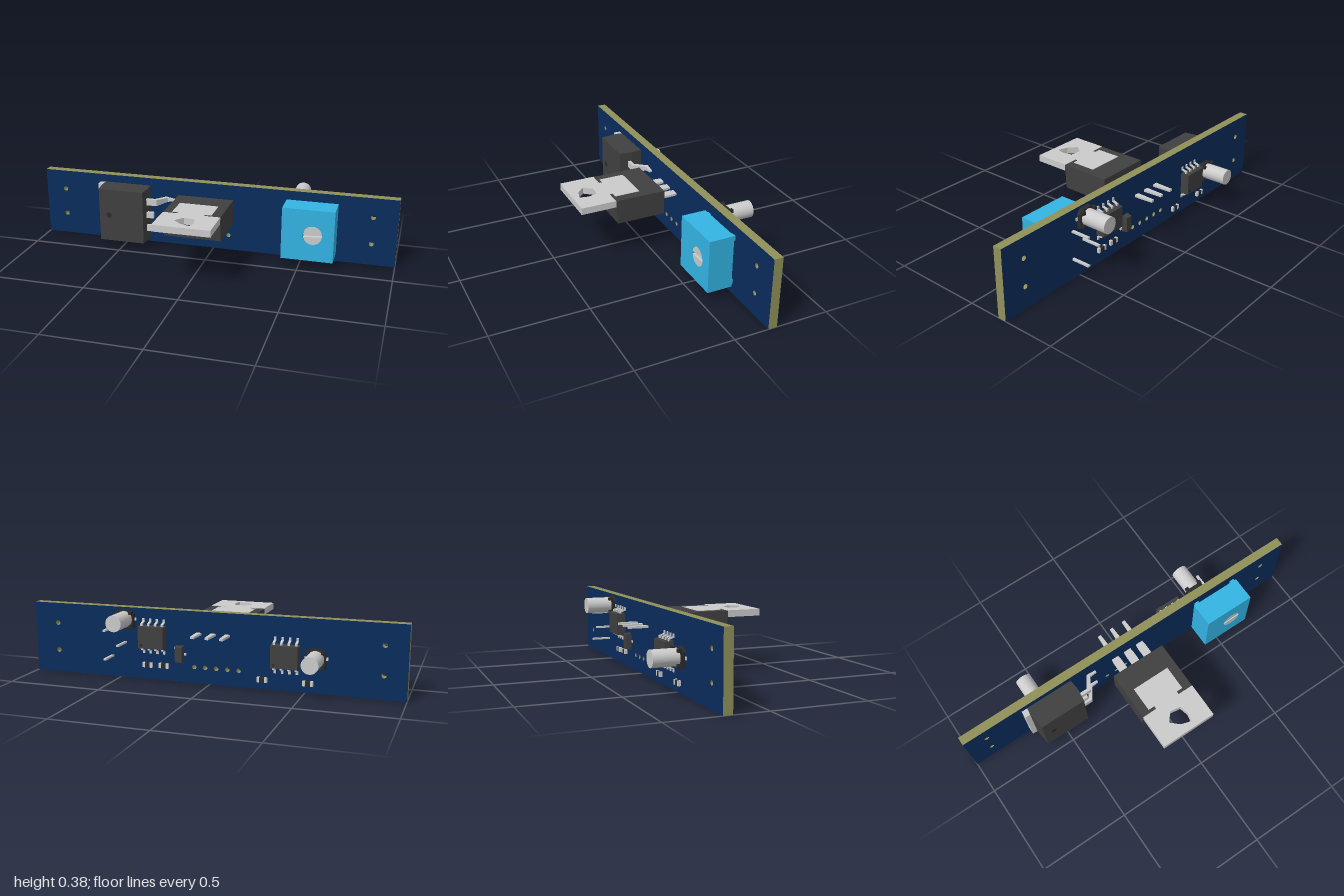
import * as THREE from 'three';

const mat = (color) => new THREE.MeshStandardMaterial({ color });
const BACK = -0.225, FRONT = -0.178; // z of the two board faces

export function createModel() {
  const root = new THREE.Group();
  const grey = mat(0xcccccc), dark = mat(0x404040), navy = mat(0x0a2c5c);
  const olive = mat(0x90905a), blue = mat(0x33b4e4), slate = mat(0x2b2b2b);

  const add = (parent, name, geo, m, x = 0, y = 0, z = 0) => {
    const mesh = new THREE.Mesh(geo, m);
    mesh.name = name;
    mesh.position.set(x, y, z);
    parent.add(mesh);
    return mesh;
  };
  const group = (name, x = 0, y = 0, z = 0) => {
    const g = new THREE.Group();
    g.name = name;
    g.position.set(x, y, z);
    root.add(g);
    return g;
  };
  // Box given by its limits
  const box = (parent, name, m, x0, x1, y0, y1, z0, z1) => add(parent, name,
    new THREE.BoxGeometry(x1 - x0, y1 - y0, z1 - z0), m, (x0 + x1) / 2, (y0 + y1) / 2, (z0 + z1) / 2);
  const outline = (pts) => new THREE.Shape(pts.map(([x, y]) => new THREE.Vector2(x, y)));
  const extrude = (shape, depth) =>
    new THREE.ExtrudeGeometry(shape, { depth, bevelEnabled: false, curveSegments: 16 });
  // Outline drawn in x and z, running downwards in y
  const flat = (shape, depth) => extrude(shape, depth).rotateX(Math.PI / 2);
  const circle = (x, y, r) => new THREE.Path().absarc(x, y, r, 0, Math.PI * 2, true);
  // Box whose +z end is narrowed
  const taperBox = (w, h, d, k) => {
    const g = new THREE.BoxGeometry(w, h, d), p = g.attributes.position;
    for (let i = 0; i < p.count; i++)
      if (p.getZ(i) > 0) p.setXY(i, p.getX(i) * k, p.getY(i) * k);
    g.computeVertexNormals();
    return g;
  };

  // Circuit board with drilled holes
  const plate = outline([[-1, 0], [1, 0], [1, 0.378], [-1, 0.378]]);
  for (const x of [-0.885, 0.868])
    for (const y of [0.12, 0.27]) plate.holes.push(circle(x, y, 0.013));
  for (let i = 0; i < 5; i++) plate.holes.push(circle(-0.155 + i * 0.06, 0.085, 0.012));
  add(root, 'circuitBoard', extrude(plate, FRONT - BACK), [navy, olive], 0, 0, BACK);

  // Flat power transistor on the front
  const flatTransistor = group('flatTransistor');
  add(flatTransistor, 'flatTransistorBody',
    flat(outline([[-0.632, FRONT], [-0.368, FRONT], [-0.362, -0.12], [-0.37, -0.047], [-0.625, -0.047], [-0.637, -0.14]]), 0.3),
    dark, 0, 0.335, 0);
  box(flatTransistor, 'flatTransistorTab', grey, -0.665, -0.6, 0.04, 0.333, FRONT, -0.14);
  box(flatTransistor, 'flatTransistorStub', grey, -0.37, -0.325, 0.172, 0.205, -0.115, -0.095);
  add(flatTransistor, 'flatTransistorDimple', new THREE.CylinderGeometry(0.016, 0.016, 0.002, 16).rotateX(Math.PI / 2),
    slate, -0.57, 0.185, -0.047);
  const bentLead = flat(outline([[-0.37, -0.095], [-0.305, -0.095], [-0.262, -0.163], [-0.222, -0.165],
    [-0.222, -0.178], [-0.275, -0.178], [-0.318, -0.112], [-0.37, -0.112]]), 0.036).translate(0, 0.018, 0);
  const lp = bentLead.attributes.position;
  for (let i = 0; i < lp.count; i++) { // narrow towards the tip
    const t = THREE.MathUtils.clamp((lp.getX(i) + 0.3) / 0.08, 0, 1);
    lp.setY(i, lp.getY(i) * (1 - 0.75 * t));
  }
  bentLead.computeVertexNormals();
  for (const y of [0.112, 0.265]) add(flatTransistor, 'flatTransistorLead', bentLead, grey, 0, y, 0);

  // Upright-mount regulator projecting forward from the board
  const regulator = group('regulator');
  const side = outline([[0.075, 0.2], [0.075, 0.332], [-0.197, 0.332], [-0.197, 0.297], [-0.188, 0.2]]);
  add(regulator, 'regulatorBody', extrude(side, 0.305).rotateY(Math.PI / 2), dark, -0.17, 0, 0);
  const tab = outline([[-0.17, 0.385], [0.135, 0.385], [0.135, 0.197], [0.05, 0.197], [0.05, 0.18], [0.085, 0.18],
    [0.085, 0.045], [-0.125, 0.045], [-0.125, 0.18], [-0.09, 0.18], [-0.09, 0.197], [-0.17, 0.197]]);
  tab.holes.push(outline([[-0.077, 0.295], [-0.04, 0.25], [0.018, 0.258], [0.03, 0.305], [0.02, 0.352], [-0.035, 0.335]]));
  add(regulator, 'regulatorTab', flat(tab, 0.036), grey, 0, 0.334, 0);
  const lead = flat(outline([[-0.023, -0.07], [0.023, -0.07], [0.023, -0.155], [0.014, -0.225], [0.009, -0.33],
    [-0.009, -0.33], [-0.014, -0.225], [-0.023, -0.155]]), 0.012);
  for (const x of [-0.096, -0.019, 0.058]) add(regulator, 'regulatorLead', lead, grey, x, 0.268, 0);

  // Trimmer with slotted screw, feet and staggered pins
  const trimmer = group('trimmer');
  const face = outline([[0.407, 0.047], [0.685, 0.047], [0.685, 0.332], [0.407, 0.332]]);
  face.holes.push(circle(0.572, 0.19, 0.052));
  add(trimmer, 'trimmerCase', extrude(face, 0.132), blue, 0, 0, -0.166);
  for (const x of [0.418, 0.652])
    for (const y of [0.055, 0.3]) box(trimmer, 'trimmerFoot', blue, x, x + 0.025, y, y + 0.025, FRONT, -0.165);
  const half = new THREE.Shape().absarc(0, 0, 0.05, 0.15, Math.PI - 0.15, false);
  for (const turn of [0, Math.PI])
    add(trimmer, 'trimmerScrewHalf', extrude(half, 0.02), grey, 0.572, 0.19, -0.056).rotation.z = turn + 0.05;
  add(trimmer, 'trimmerScrewBase', new THREE.CylinderGeometry(0.05, 0.05, 0.1, 24).rotateX(Math.PI / 2),
    grey, 0.572, 0.19, -0.106);
  for (const [x, y] of [[0.545, 0.112], [0.47, 0.19], [0.545, 0.265]])
    box(trimmer, 'trimmerPin', grey, x - 0.007, x + 0.007, y - 0.005, y + 0.005, -0.327, -0.16);

  // Can capacitors on the back
  for (const [x, y] of [[0.463, 0.318], [-0.555, 0.18]]) {
    const cap = group('capacitor', x, y, BACK);
    const c = 0.028, s = 0.049;
    add(cap, 'capacitorBase', extrude(outline([[-s, -s], [s, -s], [s, c], [c, s], [-c, s], [-s, c]]), 0.025),
      slate, 0, 0, -0.025);
    for (const sx of [-1, 1])
      for (const sy of [-1, 1]) box(cap, 'capacitorCorner', slate, sx * 0.038 - 0.009, sx * 0.038 + 0.009,
        sy * 0.036 - 0.009, sy * 0.036 + 0.009, -0.04, -0.02);
    add(cap, 'capacitorCan', new THREE.CylinderGeometry(0.043, 0.043, 0.137, 32).rotateX(Math.PI / 2), grey, 0, 0, -0.0915);
    for (const sx of [-1, 1]) box(cap, 'capacitorFoot', grey, sx * 0.05 - 0.009, sx * 0.05 + 0.009, -0.008, 0.008, -0.006, 0);
  }

  // Eight-legged chips on the back
  const gullWing = extrude(outline([[0.055, 0.032], [0.07, 0.032], [0.079, 0.006], [0.093, 0.006], [0.093, 0],
    [0.074, 0], [0.066, 0.025], [0.055, 0.025]]), 0.012).translate(0, 0, -0.006)
    .applyMatrix4(new THREE.Matrix4().set(0, 0, 1, 0, 1, 0, 0, 0, 0, 1, 0, 0, 0, 0, 0, 1));
  for (const [x, y] of [[0.307, 0.232], [-0.402, 0.182]]) {
    const chip = group('chip', x, y, BACK);
    chip.rotation.y = Math.PI;
    add(chip, 'chipBody', taperBox(0.146, 0.12, 0.046, 0.95), dark, 0, 0, 0.03);
    for (let i = 0; i < 4; i++)
      for (const turn of [0, Math.PI])
        add(chip, 'chipLeg', gullWing, grey, -0.057 + i * 0.038, 0, 0).rotation.z = turn;
    add(chip, 'chipMark', new THREE.CylinderGeometry(0.007, 0.007, 0.001, 12).rotateX(Math.PI / 2), slate, -0.052, -0.04, 0.0533);
  }

  // Small three-legged transistor on the back
  const small = group('smallTransistor', 0.16, 0.15, BACK);
  small.rotation.y = Math.PI;
  add(small, 'smallTransistorBody', taperBox(0.042, 0.09, 0.03, 0.88), dark, 0, 0, 0.021);
  for (const [s, y] of [[1, 0], [-1, 0.029], [-1, -0.029]]) {
    const leg = gullWing.clone().rotateZ(-s * Math.PI / 2).translate(-s * 0.06, 0, 0);
    add(small, 'smallTransistorLeg', leg, grey, 0, y, 0);
  }

  // Tiny two-terminal parts on the back
  for (const [x, y] of [[0.343, 0.078], [0.252, 0.08], [-0.28, 0.05], [-0.515, 0.05]]) {
    const part = group('resistor', x, y, BACK);
    box(part, 'resistorBody', slate, -0.017, 0.017, -0.012, 0.012, -0.014, 0);
    for (const s of [-1, 1])
      box(part, 'resistorEnd', grey, s * 0.02 - 0.007, s * 0.02 + 0.007, -0.013, 0.013, -0.015, 0);
  }
  return root;
}
